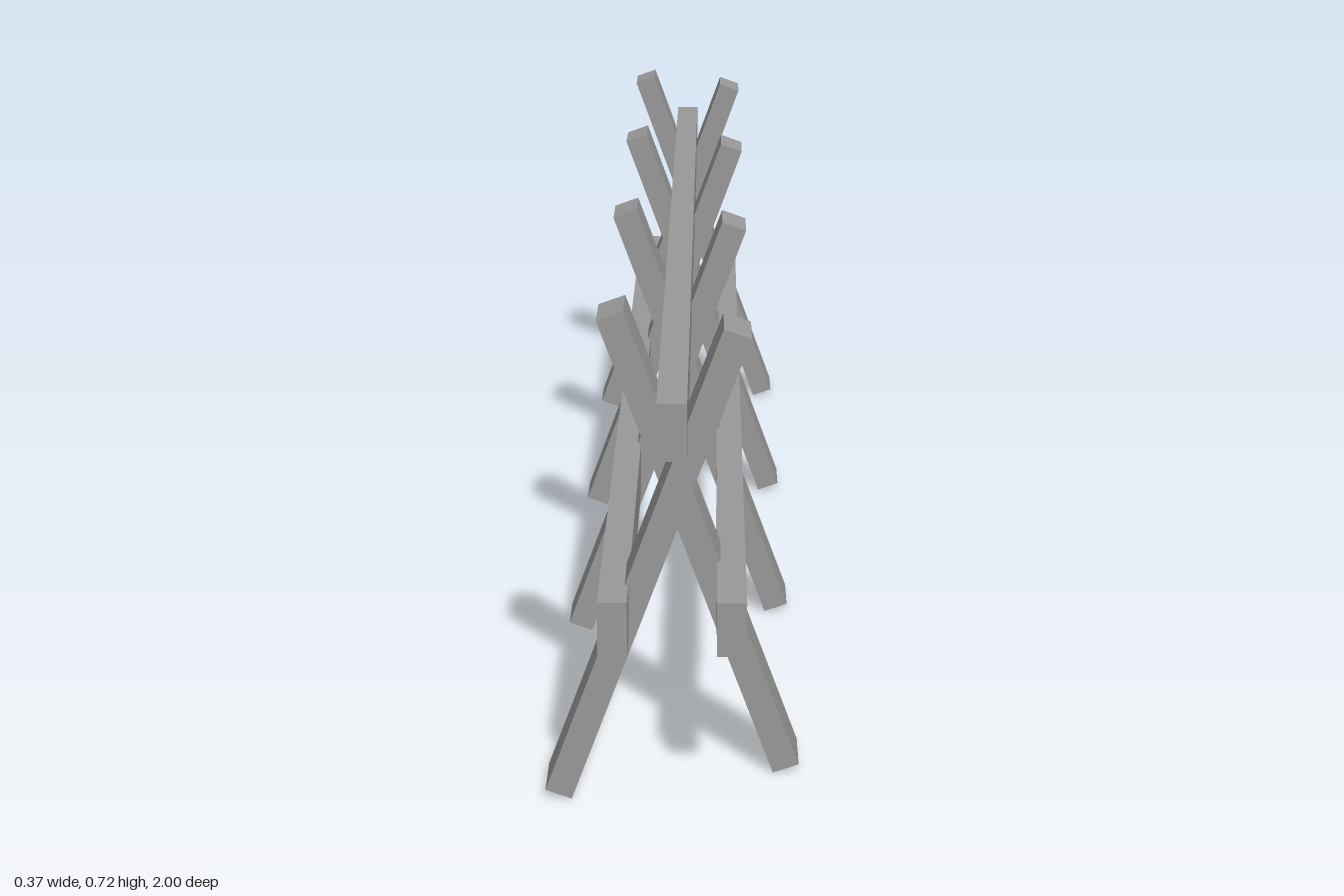
import * as THREE from 'three';

export function createModel() {
  const model = new THREE.Group();
  const material = new THREE.MeshStandardMaterial({ color: 0x999999, flatShading: true });

  function beam(name, w, h, d, x, y, z, tilt = 0) {
    const mesh = new THREE.Mesh(new THREE.BoxGeometry(w, h, d), material);
    mesh.name = name;
    mesh.position.set(x, y, z);
    mesh.rotation.z = tilt;
    model.add(mesh);
  }

  // Four pairs of crossed legs, the two legs of a pair lying side by side
  const tilt = THREE.MathUtils.degToRad(20);
  const depth = 0.083;
  for (let i = 0; i < 4; i++) {
    const joint = 0.856 - 0.584 * i;
    beam('frontLeg', 0.041, 0.753, depth, -0.039, 0.361, joint + depth / 2, -tilt);
    beam('backLeg', 0.041, 0.753, depth, 0.039, 0.361, joint - depth / 2, tilt);
  }

  // Ridge rail resting in the crossings, and a lower rail on each side
  beam('ridgeRail', 0.042, 0.084, 2, 0, 0.593, 0);
  for (const side of [-1, 1]) {
    beam(side > 0 ? 'leftRail' : 'rightRail', 0.042, 0.082, 2, side * 0.084, 0.3, 0);
  }

  return model;
}
